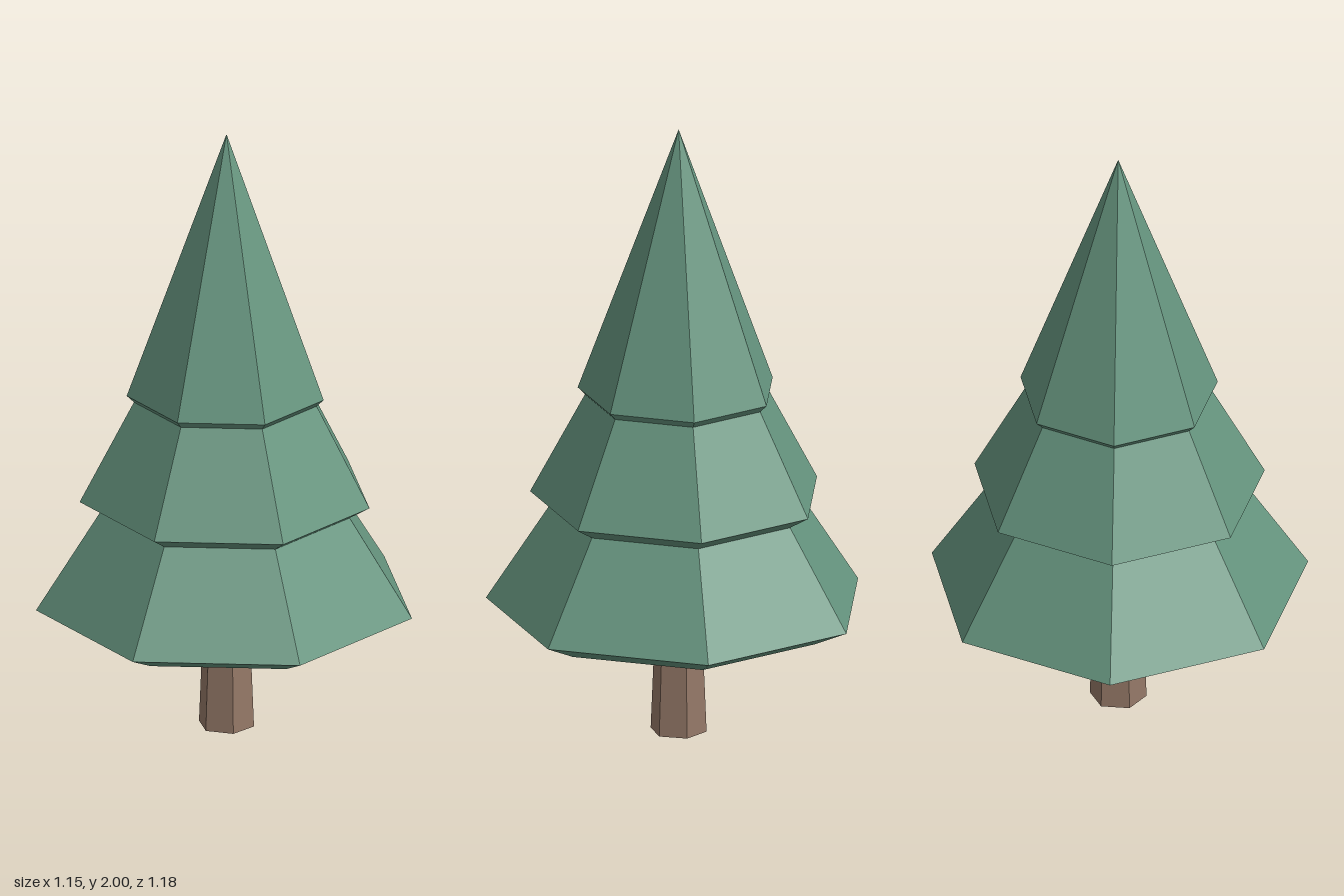
import * as THREE from 'three';

// Faceted solid of revolution with its first corner on +x
function faceted(name, profile, sides, material) {
  const points = profile.map(([r, y]) => new THREE.Vector2(r, y));
  const geometry = new THREE.LatheGeometry(points, sides, Math.PI / 2);
  const mesh = new THREE.Mesh(geometry, material);
  mesh.name = name;
  return mesh;
}

export function createModel() {
  const needles = new THREE.MeshStandardMaterial({ color: 0x66957f, flatShading: true });
  needles.name = 'needle green';
  const bark = new THREE.MeshStandardMaterial({ color: 0x947867, flatShading: true });
  bark.name = 'bark brown';

  const tree = new THREE.Group();
  tree.name = 'tree';

  // Hexagonal trunk, tapering upwards
  tree.add(faceted('trunk', [[0, 0], [0.09, 0], [0.075, 0.37]], 6, bark));

  // Seven-sided foliage: three skirts, each with an undercut lip
  tree.add(faceted('foliage', [
    [0, 0.37], [0.492, 0.37], [0.607, 0.425], // lower skirt
    [0.403, 0.743], [0.468, 0.783],           // middle skirt
    [0.295, 1.11], [0.318, 1.133],            // upper skirt
    [0, 2],
  ], 7, needles));

  // The seven-sided outline is centred by its bounds, so its axis sits off x = 0
  tree.position.x = -0.03;

  const model = new THREE.Group();
  model.name = 'pineTree';
  model.add(tree);
  return model;
}
